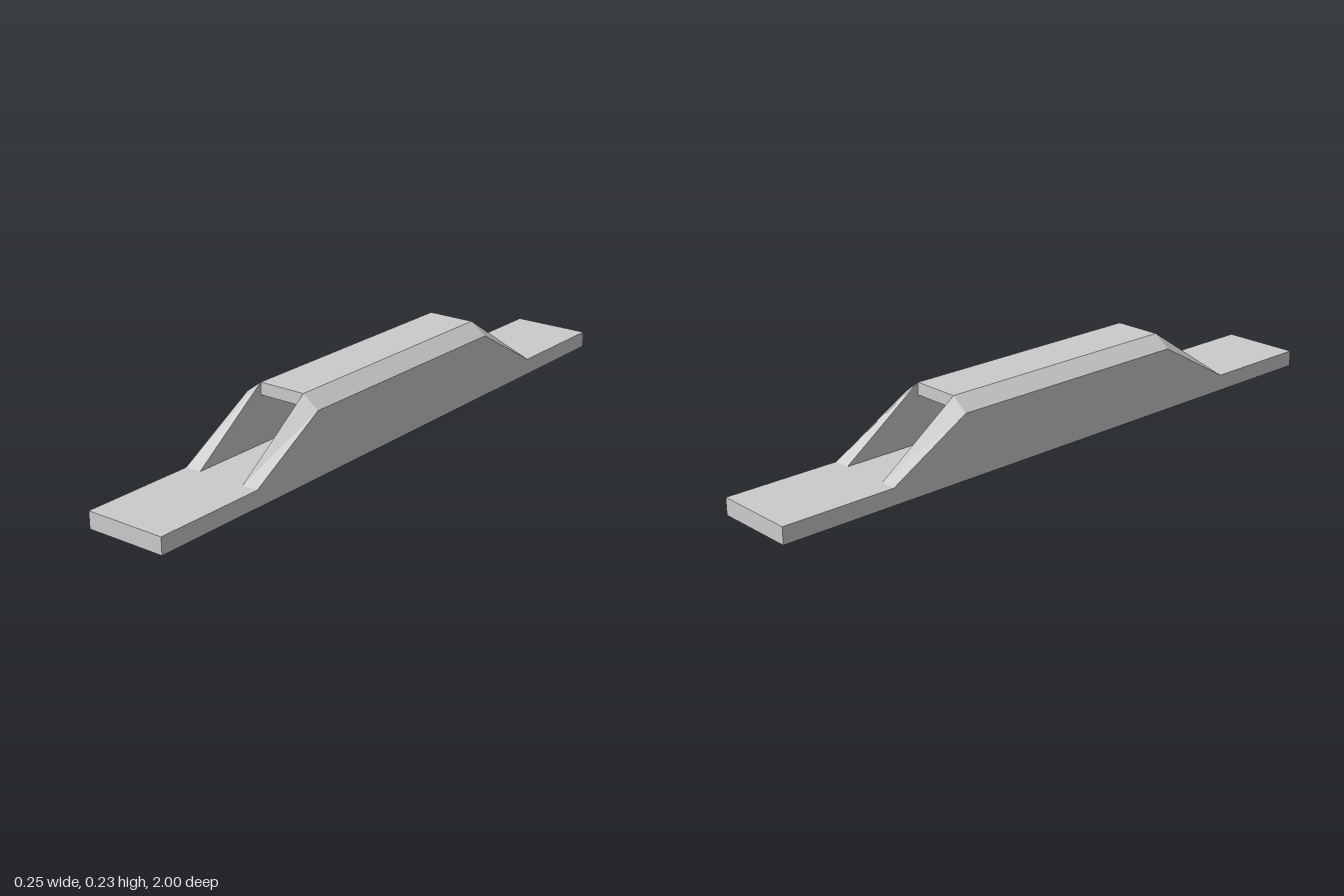
import * as THREE from 'three';

const WIDTH = 0.25, WALL = 0.05, BASE_H = 0.05;
const EAVE_Y = 0.193, TOP_Y = 0.23;
const FOOT_Z = 0.65, TOP_Z = 0.4;

const material = new THREE.MeshStandardMaterial({ color: 0xcccccc, flatShading: true });

function addMesh(group, name, geometry) {
  const mesh = new THREE.Mesh(geometry, material);
  mesh.name = name;
  group.add(mesh);
  return mesh;
}

function addBox(group, name, w, y0, y1, length) {
  const box = new THREE.BoxGeometry(w, y1 - y0, length);
  addMesh(group, name, box).position.y = (y0 + y1) / 2;
}

// Side wall: a box tapered to sloping ends, its outer top edge lowered to a bevel
function wallGeometry(side) {
  const geometry = new THREE.BoxGeometry(1, 1, 1).toNonIndexed();
  const p = geometry.attributes.position;
  for (let i = 0; i < p.count; i++) {
    const outer = p.getX(i) * side > 0;
    const top = p.getY(i) > 0;
    const end = Math.sign(p.getZ(i));
    p.setXYZ(
      i,
      side * (WIDTH / 2 - (outer ? 0 : WALL)),
      top ? (outer ? EAVE_Y : TOP_Y) : BASE_H,
      end * (top ? TOP_Z : FOOT_Z)
    );
  }
  geometry.computeVertexNormals();
  return geometry;
}

export function createModel() {
  const group = new THREE.Group();
  group.name = 'channelCover';

  // Long flat base plate
  addBox(group, 'basePlate', WIDTH, 0, BASE_H, 2);

  // Two mirrored side walls
  addMesh(group, 'leftWall', wallGeometry(1));
  addMesh(group, 'rightWall', wallGeometry(-1));

  // Roof slab closing the tunnel between the walls
  addBox(group, 'roof', WIDTH - 2 * WALL, EAVE_Y, TOP_Y, 2 * TOP_Z);

  return group;
}
